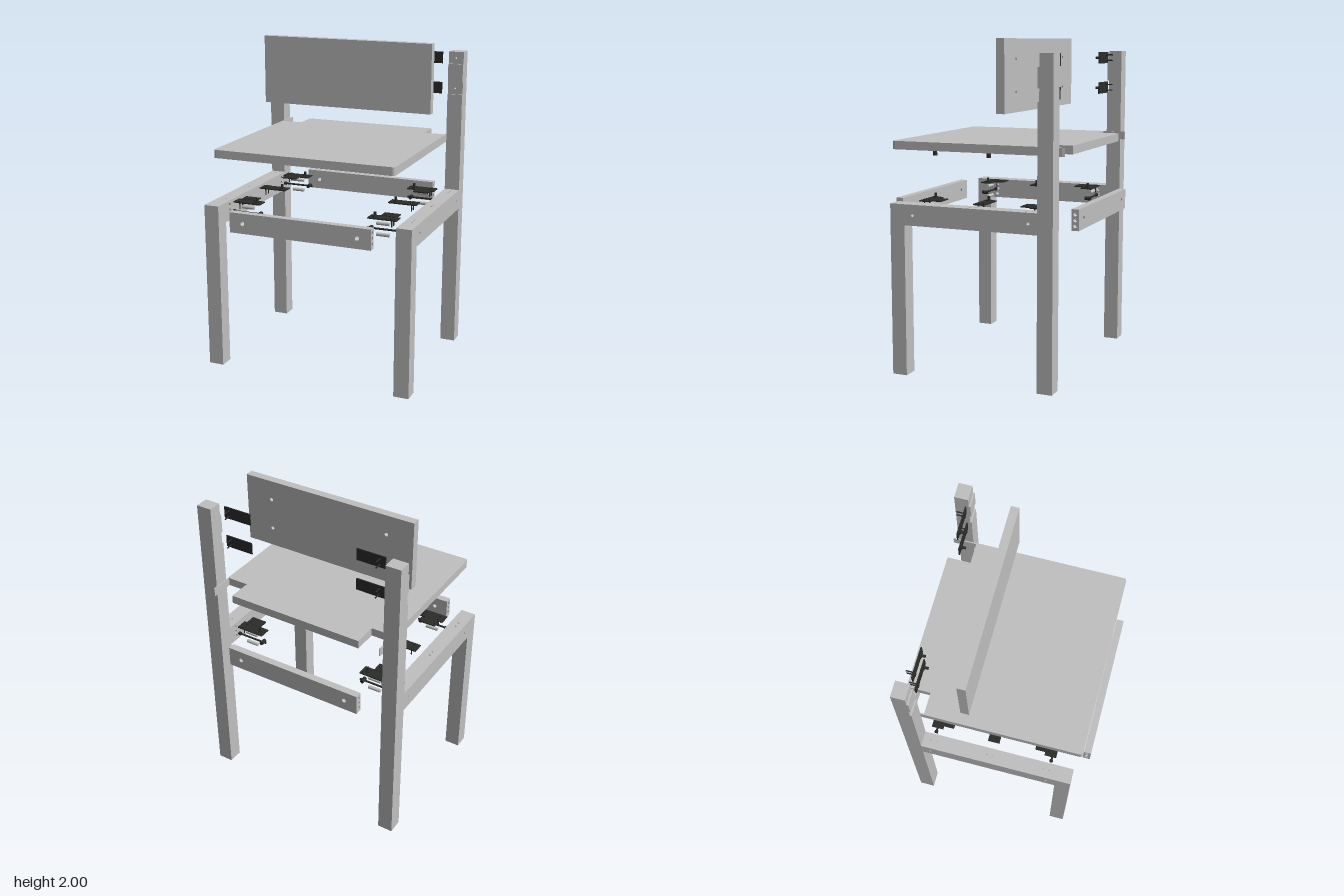
import * as THREE from 'three';

export function createModel() {
  const root = new THREE.Group();
  root.name = 'explodedChair';
  const board = new THREE.MeshStandardMaterial({ color: 0xc0c0c0 });
  board.name = 'light grey board';
  const metal = new THREE.MeshStandardMaterial({ color: 0x2b2d2a });
  metal.name = 'dark metal';

  function add(parent, name, geo, mat, x, y, z) {
    const m = new THREE.Mesh(geo, mat);
    m.name = name;
    m.position.set(x, y, z);
    parent.add(m);
    return m;
  }
  const box = (w, h, d) => new THREE.BoxGeometry(w, h, d);
  const rod = (r, len) => new THREE.CylinderGeometry(r, r, len, 16);

  // Box centred on its origin with round holes [u, v, r] sunk into its +z face
  function holedBox(parent, name, w, h, d, holes, depth, x, y, z) {
    const g = new THREE.Group();
    g.name = name;
    g.position.set(x, y, z);
    const s = new THREE.Shape();
    s.moveTo(-w / 2, -h / 2).lineTo(w / 2, -h / 2).lineTo(w / 2, h / 2).lineTo(-w / 2, h / 2).closePath();
    for (const [u, v, r] of holes) {
      const p = new THREE.Path();
      p.absarc(u, v, r, 0, Math.PI * 2, true);
      s.holes.push(p);
    }
    const face = new THREE.ExtrudeGeometry(s, { depth, bevelEnabled: false, curveSegments: 10 });
    add(g, name + 'Face', face, board, 0, 0, d / 2 - depth);
    if (depth < d) add(g, name + 'Core', box(w, h, d - depth), board, 0, 0, -depth / 2);
    parent.add(g);
    return g;
  }

  // Seat board: rounded front corners, rear corners notched for the posts
  const half = [[0.571, -0.4], [0.571, -0.53], [0.567, -0.545], [0.563, -0.545], [0.563, -0.4], [0.432, -0.4], [0.432, -0.545]];
  const seat = new THREE.Shape();
  seat.moveTo(-0.551, 0.545).lineTo(0.551, 0.545).quadraticCurveTo(0.571, 0.545, 0.571, 0.525);
  half.forEach(([x, z]) => seat.lineTo(x, z));
  half.slice().reverse().forEach(([x, z]) => seat.lineTo(-x, z));
  seat.lineTo(-0.571, 0.525).quadraticCurveTo(-0.571, 0.545, -0.551, 0.545);
  const seatGeo = new THREE.ExtrudeGeometry(seat, { depth: 0.05, bevelEnabled: false });
  add(root, 'seat', seatGeo.rotateX(Math.PI / 2), board, 0, 1.4, 0);

  // Backrest with four screw holes in its rear face
  const restHoles = [];
  for (const u of [-0.385, 0.385]) for (const y of [1.69, 1.88]) restHoles.push([u, y - 1.7875, 0.011]);
  holedBox(root, 'backrest', 1.11, 0.425, 0.05, restHoles, 0.035, 0, 1.7875, -0.15).rotation.y = Math.PI;

  // Front and rear rails: bolt holes through the face, three dowel holes in each end
  const endHoles = [-0.034, 0, 0.034].map((v) => [0, v, 0.012]);
  for (const f of [1, -1]) {
    const name = f > 0 ? 'frontRail' : 'rearRail';
    holedBox(root, name, 0.82, 0.125, 0.045, [[-0.365, 0, 0.013], [0.365, 0, 0.013]], 0.045, 0, 0.9775, 0.5675 * f);
    for (const s of [1, -1]) {
      holedBox(root, name + 'End', 0.045, 0.125, 0.04, endHoles, 0.038, 0.43 * s, 0.9775, 0.5675 * f)
        .rotation.y = s * Math.PI / 2;
    }
  }

  // Flat bracket with a threaded knob above and two screws below; corner ones carry a side tab
  function bracket(s, tab) {
    const g = new THREE.Group();
    g.name = 'bracket';
    add(g, 'bracketPlate', box(0.18, 0.007, 0.072), metal, 0, 0, 0);
    add(g, 'bracketFlange', rod(0.016, 0.01), metal, -0.055 * s, 0.006, 0);
    add(g, 'bracketKnob', rod(0.008, 0.03), metal, -0.055 * s, 0.017, 0);
    for (const z of [-0.018, 0.018]) {
      add(g, 'bracketScrew', rod(0.004, 0.045), metal, 0.055 * s, -0.022, z);
      add(g, 'screwHead', rod(0.01, 0.006), metal, 0.055 * s, 0.005, z);
    }
    if (tab) add(g, 'bracketTab', box(0.1, 0.007, 0.065), metal, 0.02 * s, 0.002, -tab * 0.066);
    root.add(g);
    return g;
  }

  for (const s of [1, -1]) {
    const X = 0.6175 * s;
    const side = new THREE.Group();
    side.name = s > 0 ? 'leftSideFrame' : 'rightSideFrame';
    root.add(side);

    // Front leg and rear post, the post notched twice for the backrest brackets
    add(side, 'frontLeg', box(0.095, 0.915, 0.093), board, X, 0.4575, 0.4645);
    add(side, 'rearPost', box(0.095, 1.655, 0.093), board, X, 0.8275, -0.4665);
    add(side, 'rearPostBlock', box(0.095, 0.115, 0.093), board, X, 1.7875, -0.4665);
    for (const y of [1.6925, 1.8825]) {
      holedBox(side, 'rearPostNotch', 0.095, 0.075, 0.083, [[0, 0, 0.006]], 0.03, X, y, -0.4715);
    }

    // Side rail: outer layer, drilled inner layer and drilled top
    const u = (z, dir) => -dir * (z - 0.0455);
    const outer = [], inner = [];
    for (const z of [-0.365, 0.365]) {
      outer.push([u(z, s), 0.005, 0.009]);
      for (const v of [-0.029, 0.005, 0.039]) inner.push([u(z, -s), v, 0.012]);
    }
    holedBox(side, 'sideRailOuter', 0.931, 0.115, 0.06, outer, 0.06, 0.635 * s, 0.9725, 0.0455)
      .rotation.y = s * Math.PI / 2;
    holedBox(side, 'sideRailInner', 0.931, 0.115, 0.035, inner, 0.035, 0.5875 * s, 0.9725, 0.0455)
      .rotation.y = -s * Math.PI / 2;
    const topHoles = [-0.375, -0.335, -0.02, 0.017, 0.33, 0.37].map((z) => [0, 0.0455 - z, 0.006]);
    holedBox(side, 'sideRailTop', 0.095, 0.931, 0.01, topHoles, 0.01, X, 1.035, 0.0455)
      .rotation.x = -Math.PI / 2;

    // Seat brackets and the threaded inserts below the seat
    for (const z of [-0.355, 0, 0.355]) {
      bracket(s, Math.sign(z)).position.set(0.44 * s, 1.042, z);
      add(root, 'seatInsert', rod(0.013, 0.028), metal, 0.385 * s, 1.316, z);
    }

    // Backrest brackets, standing upright
    for (const y of [1.69, 1.88]) {
      const b = bracket(s, 0);
      b.rotation.x = Math.PI / 2;
      b.position.set(0.44 * s, y, -0.434);
    }

    // Bolt with barrel nut, and a dowel above and below it, at each joint
    for (const z of [-0.365, 0.365]) {
      add(root, 'bolt', rod(0.006, 0.2), metal, 0.44 * s, 0.977, z).rotation.z = Math.PI / 2;
      add(root, 'boltHead', rod(0.011, 0.015), metal, 0.537 * s, 0.977, z).rotation.z = Math.PI / 2;
      add(root, 'barrelNut', rod(0.012, 0.04), metal, 0.362 * s, 0.977, z).rotation.x = Math.PI / 2;
      for (const y of [0.943, 1.011]) {
        add(root, 'dowel', rod(0.011, 0.08), board, 0.44 * s, y, z).rotation.z = Math.PI / 2;
      }
    }
  }
  return root;
}
